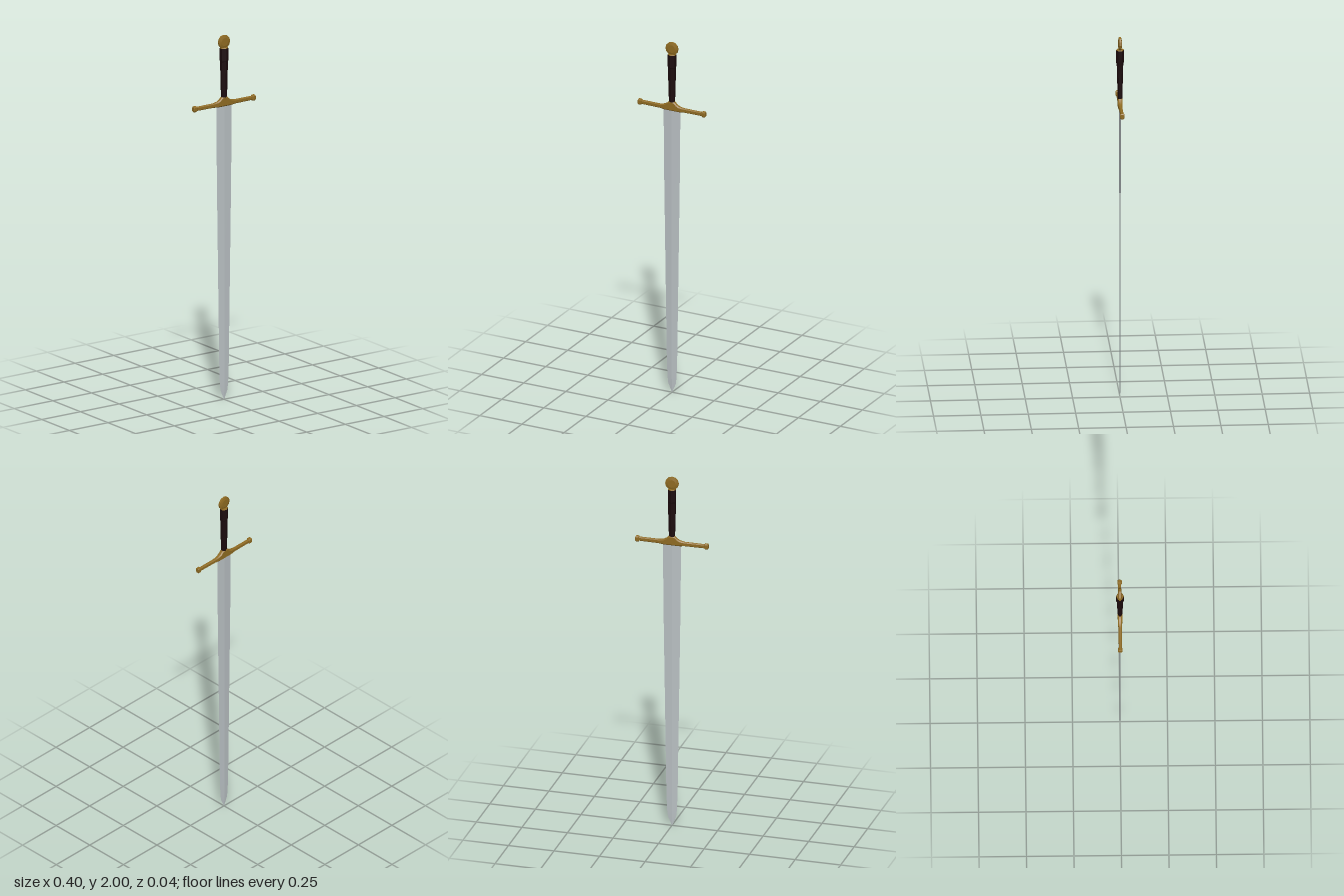
import * as THREE from 'three';
import { toCreasedNormals } from 'three/addons/utils/BufferGeometryUtils.js';

// Skin closed rings of points; each ring runs counter-clockwise seen from the far end of the loft.
function loft(rings, crease = 0.6) {
  const n = rings[0].length;
  const pos = rings.flat(2);
  const idx = [];
  for (let r = 0; r < rings.length - 1; r++) {
    for (let i = 0; i < n; i++) {
      const a = r * n + i, b = r * n + (i + 1) % n;
      idx.push(a, b, b + n, a, b + n, a + n);
    }
  }
  const last = (rings.length - 1) * n;
  for (let i = 1; i < n - 1; i++) {
    idx.push(0, i + 1, i, last, last + i, last + i + 1);
  }
  const g = new THREE.BufferGeometry();
  g.setAttribute('position', new THREE.Float32BufferAttribute(pos, 3));
  g.setIndex(idx);
  return toCreasedNormals(g, crease);
}

// Ring around y, with corners facing +z and -z
function gripRing(y, hx, hz) {
  return [[0, hz], [hx, hz * 0.5], [hx, -hz * 0.5], [0, -hz], [-hx, -hz * 0.5], [-hx, hz * 0.5]]
    .map(([x, z]) => [x, y, z]);
}

// Chamfered rectangle around x, from y0 to y1
function barRing(x, y0, y1, hz) {
  const c = Math.min((y1 - y0) * 0.28, hz * 0.5);
  return [[y0 + c, -hz], [y1 - c, -hz], [y1, -hz + c], [y1, hz - c],
    [y1 - c, hz], [y0 + c, hz], [y0, hz - c], [y0, -hz + c]].map(([y, z]) => [x, y, z]);
}

export function createModel() {
  const model = new THREE.Group();
  const gold = new THREE.MeshStandardMaterial({ color: 0x8f6b22 });
  const leather = new THREE.MeshStandardMaterial({ color: 0x1c0b0d });
  const steel = new THREE.MeshStandardMaterial({ color: 0xb9c0c3 });
  const add = (name, geometry, material) => {
    const mesh = new THREE.Mesh(geometry, material);
    mesh.name = name;
    model.add(mesh);
    return mesh;
  };

  // Blade: thin diamond section tapering to the point (y, half width, half thickness)
  const blade = [[0.008, 0.0008, 0.0005], [0.05, 0.022, 0.0025], [0.09, 0.027, 0.003],
    [0.2, 0.031, 0.0033], [0.6, 0.037, 0.0036], [1.2, 0.046, 0.004], [1.615, 0.05, 0.0045]]
    .map(([y, w, t]) => [[0, y, t], [w, y, 0], [0, y, -t], [-w, y, 0]]);
  blade[0].forEach((p) => { p[1] = 0; });
  add('blade', loft(blade, 0.05), steel);

  // Crossguard: bar swelling into a raised centre (x, bottom, top, half depth)
  const half = [[0, 1.61, 1.665, 0.012], [0.016, 1.61, 1.662, 0.012], [0.03, 1.61, 1.648, 0.012],
    [0.045, 1.61, 1.64, 0.011], [0.07, 1.613, 1.635, 0.0085], [0.185, 1.614, 1.635, 0.008]];
  const guard = [...half.slice(1).reverse().map(([x, ...s]) => [-x, ...s]), ...half];
  add('crossguard', loft(guard.map((s) => barRing(...s))), gold);

  // Guard end caps
  for (const [name, side] of [['leftGuardEnd', 1], ['rightGuardEnd', -1]]) {
    const knob = [[-0.0105, 0.004], [-0.007, 0], [0.007, 0], [0.0105, 0.004]]
      .map(([x, inset]) => barRing(x, 1.609 + inset, 1.64 - inset, 0.0115 - inset * 0.6));
    add(name, loft(knob), gold).position.x = side * 0.1895;
  }

  // Grip: six-sided, with a stepped swell below the pommel
  const grip = [[1.655, 0.015, 0.012], [1.76, 0.018, 0.015], [1.855, 0.019, 0.0175],
    [1.86, 0.02, 0.021], [1.928, 0.02, 0.021]];
  add('grip', loft(grip.map((s) => gripRing(...s)), 0.3), leather);
  add('gripCap', loft([gripRing(1.928, 0.0195, 0.0205), gripRing(1.932, 0.018, 0.019)], 0.3), gold);

  // Pommel: bevelled upright disc
  const profile = [[0, -0.009], [0.022, -0.009], [0.0365, -0.005], [0.0365, 0.005], [0.022, 0.009], [0, 0.009]]
    .map(([r, h]) => new THREE.Vector2(r, h));
  const disc = new THREE.LatheGeometry(profile, 12);
  disc.rotateX(Math.PI / 2);
  add('pommel', toCreasedNormals(disc, 0.2), gold).position.y = 1.9635;

  return model;
}
